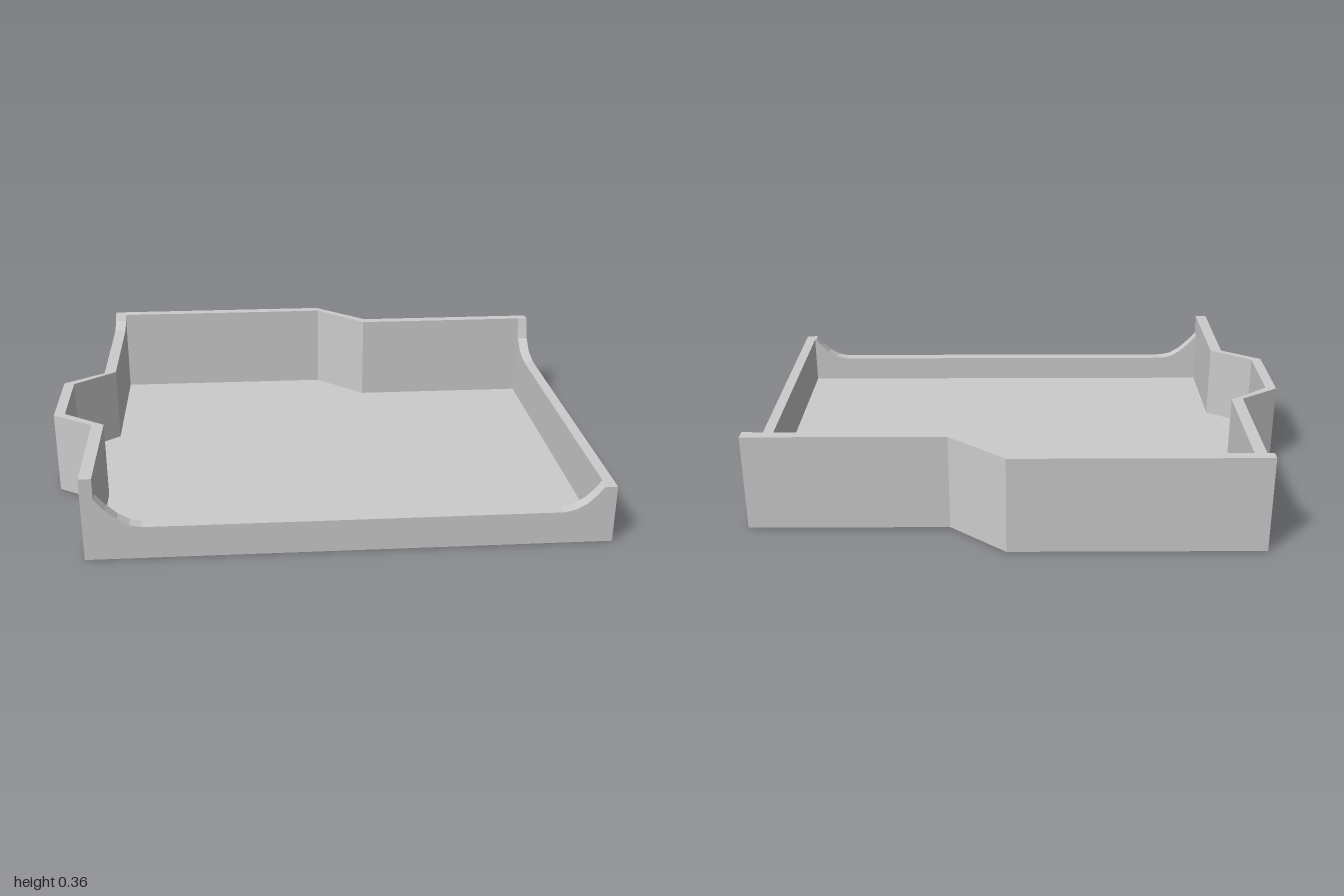
import * as THREE from 'three';

const FLOOR = 0.02;

// Wall stations, anticlockwise from the front left corner:
// [outer x, outer z, inner x, inner z, height]
const front = (x, h) => [x, 0.795, x, 0.75, h];
const right = (z, h) => [1, z, 0.96, z, h];
const left = (z, h) => [-0.85, z, -0.805, z, h];

const stations = [
  // low front wall with a scooped rim
  [-0.85, 0.795, -0.805, 0.75, 0.31],
  front(-0.805, 0.31), front(-0.805, 0.23), front(-0.77, 0.19), front(-0.73, 0.153),
  front(-0.69, 0.13), front(-0.65, 0.121), front(0.82, 0.121), front(0.86, 0.13),
  front(0.9, 0.153), front(0.93, 0.183), front(0.955, 0.215),
  [1, 0.795, 0.96, 0.75, 0.215],
  // right wall, sweeping up to the back
  right(-0.42, 0.215), right(-0.5, 0.235), right(-0.55, 0.277), right(-0.565, 0.32), right(-0.577, 0.362),
  // back wall with its diagonal step
  [1, -0.62, 0.96, -0.58, 0.362],
  [0.27, -0.62, 0.26, -0.58, 0.362],
  [0.065, -0.795, 0.07, -0.755, 0.362],
  [-0.85, -0.795, -0.805, -0.755, 0.362],
  // left wall, sweeping down, then the side bay
  left(-0.756, 0.362), left(-0.74, 0.339), left(-0.715, 0.322), left(-0.685, 0.312), left(-0.65, 0.31),
  [-0.85, -0.17, -0.805, -0.18, 0.31],
  [-1, -0.07, -0.96, -0.06, 0.31],
  [-1, 0.25, -0.96, 0.24, 0.31],
  [-0.85, 0.35, -0.805, 0.35, 0.31],
];

// Closed ring of four-cornered wall sections
function wallGeometry() {
  const section = ([ox, oz, ix, iz, h]) =>
    [[ox, 0, oz], [ox, h, oz], [ix, h, iz], [ix, 0, iz]].map((p) => new THREE.Vector3(...p));
  const pos = [];
  const triangle = (a, b, c) => {
    const area = b.clone().sub(a).cross(c.clone().sub(a)).length();
    if (area > 1e-8) for (const p of [a, b, c]) pos.push(p.x, p.y, p.z);
  };
  stations.forEach((s, i) => {
    const a = section(s);
    const b = section(stations[(i + 1) % stations.length]);
    for (let j = 0; j < 4; j++) {
      const k = (j + 1) % 4;
      triangle(a[j], b[j], b[k]);
      triangle(a[j], b[k], a[k]);
    }
  });
  const geo = new THREE.BufferGeometry();
  geo.setAttribute('position', new THREE.Float32BufferAttribute(pos, 3));
  geo.computeVertexNormals();
  return geo;
}

// Thin floor filling the inner outline
function floorGeometry() {
  const points = [];
  for (const [, , x, z] of stations) {
    const p = new THREE.Vector2(x, -z);
    if (!points.length || points[points.length - 1].distanceTo(p) > 1e-4) points.push(p);
  }
  const geo = new THREE.ExtrudeGeometry(new THREE.Shape(points), { depth: FLOOR, bevelEnabled: false });
  return geo.rotateX(-Math.PI / 2);
}

export function createModel() {
  const material = new THREE.MeshStandardMaterial({ color: 0xcccccc, flatShading: true });
  const tray = new THREE.Group();
  tray.name = 'tray';
  const add = (name, geo) => {
    const mesh = new THREE.Mesh(geo, material);
    mesh.name = name;
    tray.add(mesh);
  };
  add('walls', wallGeometry());
  add('floor', floorGeometry());
  return tray;
}
